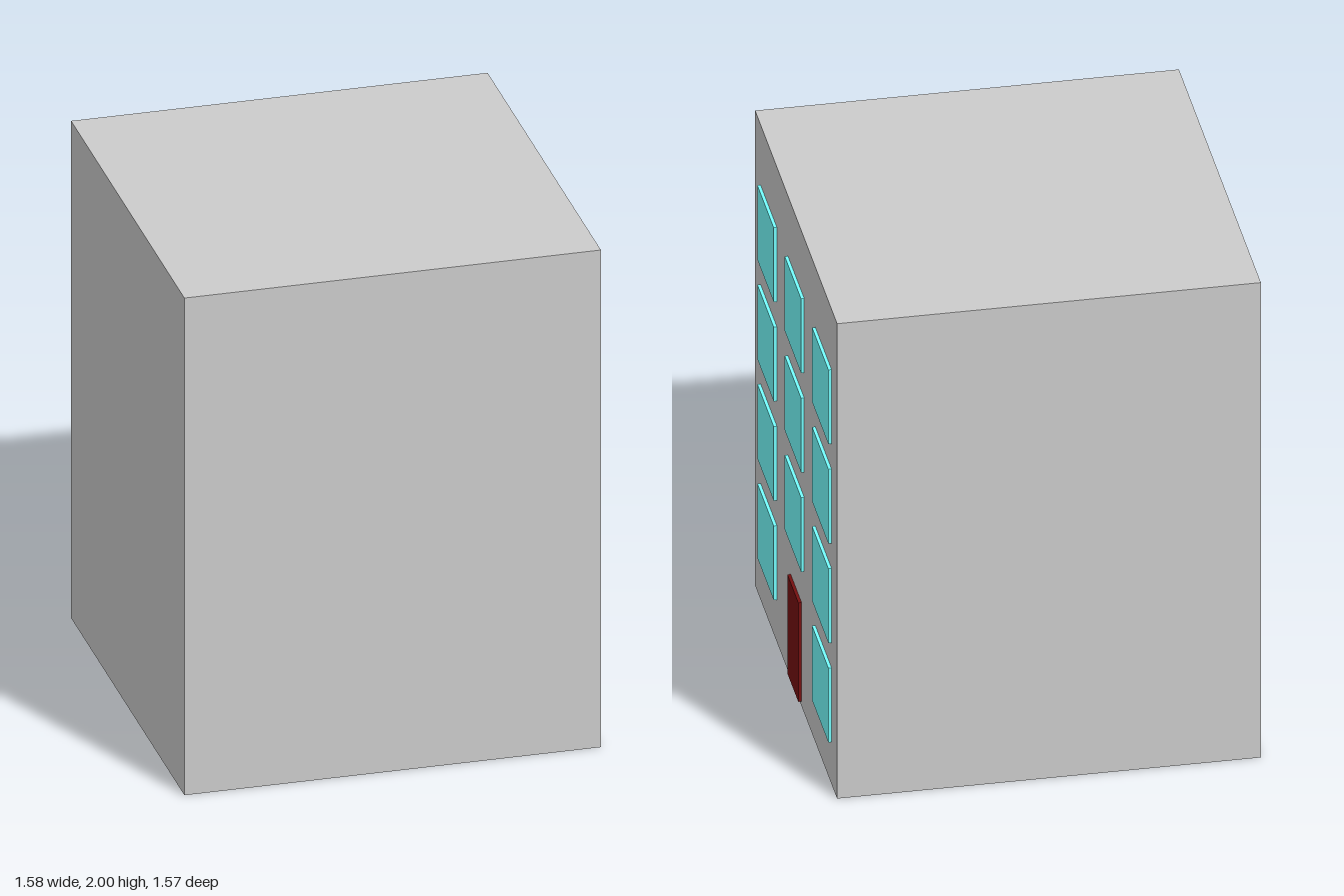
import * as THREE from 'three';

const WALL_X = 0.78;   // outer face of the facade
const RELIEF = 0.012;  // how far windows and door stand proud

export function createModel() {
  const building = new THREE.Group();
  building.name = 'apartmentBlock';

  const wallMaterial = new THREE.MeshStandardMaterial({ color: 0xcccccc });
  const glassMaterial = new THREE.MeshStandardMaterial({ color: 0x75ffff });
  const doorMaterial = new THREE.MeshStandardMaterial({ color: 0x751010 });

  function addBox(parent, name, material, size, position) {
    const mesh = new THREE.Mesh(new THREE.BoxGeometry(...size), material);
    mesh.name = name;
    mesh.position.set(...position);
    parent.add(mesh);
  }

  // Main block
  const width = WALL_X + 0.792;
  addBox(building, 'walls', wallMaterial, [width, 2, 1.574], [WALL_X - width / 2, 1, 0]);

  // Three columns of windows on four floors; the door replaces the lowest middle one
  const windows = new THREE.Group();
  windows.name = 'windows';
  building.add(windows);
  for (let floor = 0; floor < 4; floor++) {
    for (let column = -1; column <= 1; column++) {
      if (floor === 0 && column === 0) continue;
      addBox(windows, `windowFloor${floor + 1}Column${column + 2}`, glassMaterial,
        [RELIEF, 0.313, 0.313], [WALL_X + RELIEF / 2, 0.334 + floor * 0.4187, column * 0.525]);
    }
  }

  // Entrance door
  addBox(building, 'door', doorMaterial, [RELIEF, 0.417, 0.21], [WALL_X + RELIEF / 2, 0.228, 0]);

  return building;
}
